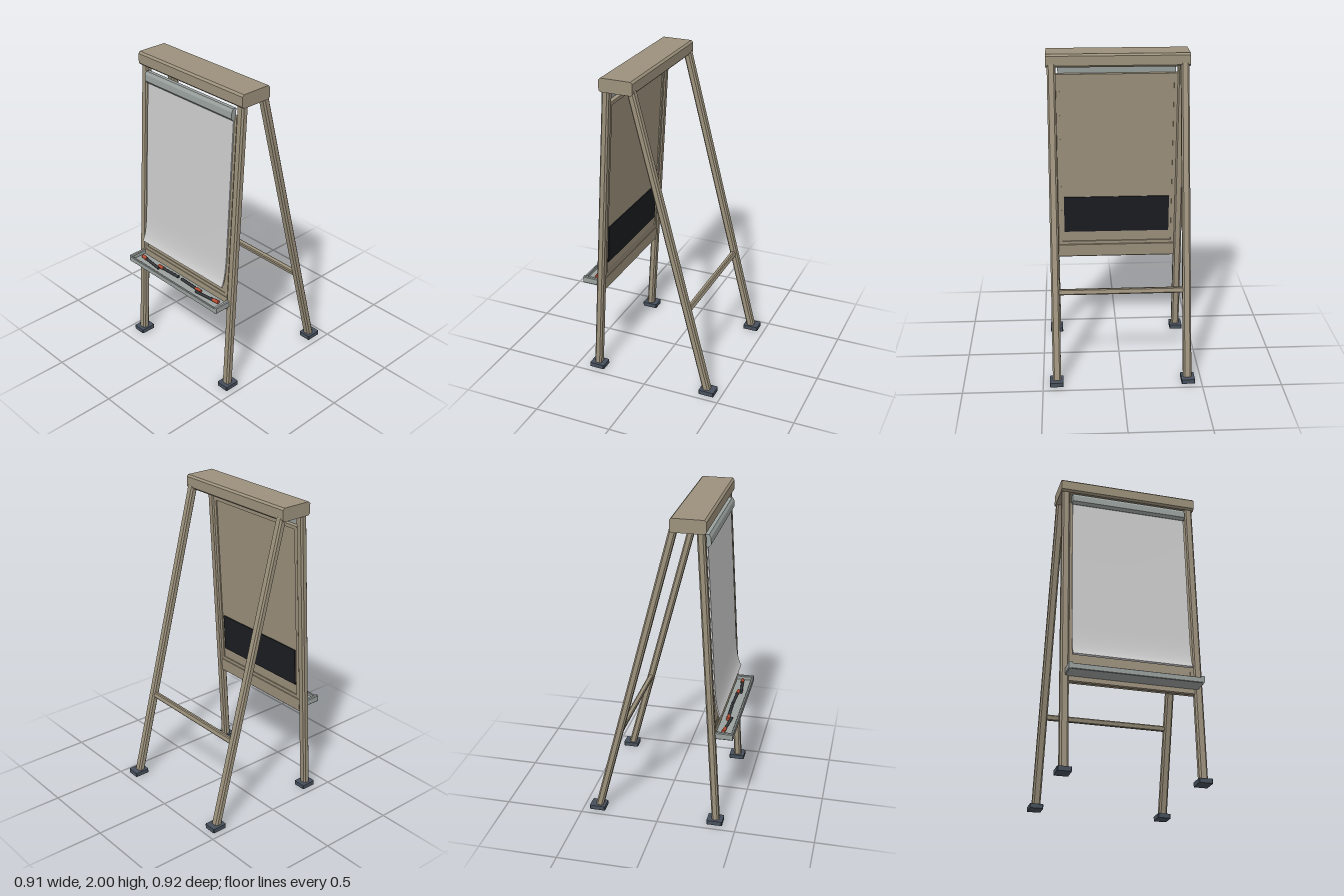
import * as THREE from 'three';
import { toCreasedNormals } from 'three/addons/utils/BufferGeometryUtils.js';

const mat = (color) => new THREE.MeshStandardMaterial({ color });
const wood = mat(0x9c917c);
const metal = mat(0x9aa19e);
const paperMat = mat(0xcccccc);
const rubber = mat(0x46505c);
const slate = mat(0x1b1d21);
const ink = mat(0x36373b);
const red = mat(0xb54c32);

function add(parent, name, geometry, material, x = 0, y = 0, z = 0) {
  const mesh = new THREE.Mesh(geometry, material);
  mesh.name = name;
  mesh.position.set(x, y, z);
  parent.add(mesh);
  return mesh;
}

const box = (w, h, d) => new THREE.BoxGeometry(w, h, d);

// Rectangle with cut corners, extruded along z and centred
function chamfered(w, h, length, c) {
  const a = w / 2, b = h / 2;
  const shape = new THREE.Shape([
    [-a + c, -b], [a - c, -b], [a, -b + c], [a, b - c],
    [a - c, b], [-a + c, b], [-a, b - c], [-a, -b + c],
  ].map(([x, y]) => new THREE.Vector2(x, y)));
  const g = new THREE.ExtrudeGeometry(shape, { depth: length, bevelEnabled: false });
  return g.translate(0, 0, -length / 2);
}
const beamX = (length, h, d, c) => chamfered(d, h, length, c).rotateY(-Math.PI / 2);
const beamY = (w, length, d, c) => chamfered(w, d, length, c).rotateX(-Math.PI / 2);

// Extrudes a (z, y) outline across the width
function profileX(points, width) {
  const shape = new THREE.Shape(points.map(([z, y]) => new THREE.Vector2(z, y)));
  const g = new THREE.ExtrudeGeometry(shape, { depth: width, bevelEnabled: false });
  return g.translate(0, 0, -width / 2).rotateY(-Math.PI / 2);
}

// Rectangular frame with an opening
function frameGeometry(w, h, border, depth) {
  const rect = (Type, a, b) => new Type([[-a, -b], [a, -b], [a, b], [-a, b]]
    .map(([x, y]) => new THREE.Vector2(x, y)));
  const shape = rect(THREE.Shape, w / 2, h / 2);
  shape.holes.push(rect(THREE.Path, w / 2 - border, h / 2 - border));
  const g = new THREE.ExtrudeGeometry(shape, { depth, bevelEnabled: false });
  return g.translate(0, 0, -depth / 2);
}

// Leaning group whose local y runs along a pair of legs
function leaning(name, z0, z1) {
  const g = new THREE.Group();
  g.name = name;
  g.position.z = z0;
  g.rotation.x = Math.atan2(z1 - z0, 1.93);
  return g;
}

function buildFront() {
  const g = leaning('frontFrame', 0.366, 0.249);
  for (const s of [-1, 1]) add(g, 'frontLeg', beamY(0.052, 1.92, 0.046, 0.01), wood, s * 0.413, 0.975);
  add(g, 'lowerRail', beamX(0.78, 0.095, 0.034, 0.006), wood, 0, 0.612);

  // Board with a raised border and a dark panel on its back
  add(g, 'board', box(0.76, 1.17, 0.02), wood, 0, 1.25, 0.003);
  add(g, 'boardFrame', frameGeometry(0.776, 1.185, 0.022, 0.032), wood, 0, 1.25, 0.001);
  add(g, 'backPanel', box(0.7, 0.25, 0.008), slate, 0, 0.875, -0.01);

  // Paper sheet curling forward at its lower end
  const line = [[0.026, 1.86], [0.026, 0.93], [0.028, 0.87], [0.032, 0.82],
    [0.038, 0.78], [0.046, 0.752], [0.055, 0.735]];
  const back = [[0.018, 1.86], [0.018, 0.93], [0.02, 0.87], [0.024, 0.817],
    [0.03, 0.774], [0.038, 0.744], [0.046, 0.727]];
  const sheet = profileX([...line, ...back.reverse()], 0.744);
  add(g, 'paperSheet', toCreasedNormals(sheet, 0.6), paperMat);

  // Clamp bar holding the sheet
  add(g, 'clampBar', profileX([[0.012, 1.828], [0.03, 1.822], [0.046, 1.838],
    [0.046, 1.878], [0.036, 1.898], [0.012, 1.898]], 0.752), metal);
  return g;
}

function buildRear() {
  const g = leaning('rearFrame', -0.405, 0.09);
  for (const s of [-1, 1]) add(g, 'rearLeg', beamY(0.052, 1.98, 0.046, 0.01), wood, s * 0.413, 1.005);
  add(g, 'rearCrossbar', beamX(0.78, 0.036, 0.032, 0.006), wood, 0, 0.582);
  return g;
}

function marker(parent, x0, z0, x1, z1) {
  // Runs from the capped end (x0, z0) to the plain end (x1, z1)
  const g = new THREE.Group();
  g.name = 'marker';
  const length = Math.hypot(x1 - x0, z1 - z0);
  const lay = (r, len, start) =>
    new THREE.CylinderGeometry(r, r, len, 8).rotateZ(Math.PI / 2).translate(start + len / 2, 0, 0);
  add(g, 'markerBody', lay(0.009, length - 0.04, 0.04), ink);
  add(g, 'markerCap', lay(0.0115, 0.044, 0), red);
  g.position.set(x0, 0.629, z0);
  g.rotation.y = -Math.atan2(z1 - z0, x1 - x0);
  parent.add(g);
}

function buildTray() {
  const g = new THREE.Group();
  g.name = 'tray';
  add(g, 'trayFloor', box(0.8, 0.018, 0.105), metal, 0, 0.609, 0.4);
  add(g, 'trayLip', beamX(0.8, 0.036, 0.014, 0.003), metal, 0, 0.618, 0.452);
  for (const s of [-1, 1]) {
    add(g, 'trayEnd', chamfered(0.024, 0.045, 0.112, 0.005), metal, s * 0.402, 0.6225, 0.402);
    marker(g, s * 0.36, 0.39, s * 0.178, 0.411);
    marker(g, s * 0.2, 0.39, s * 0.015, 0.384);
  }
  return g;
}

export function createModel() {
  const model = new THREE.Group();
  model.name = 'flipChartEasel';
  model.add(buildFront(), buildRear(), buildTray());

  // Top cap joining both pairs of legs
  add(model, 'topCap', beamX(0.894, 0.084, 0.215, 0.012), wood, 0, 1.958, 0.178);

  // Rubber feet
  for (const s of [-1, 1]) {
    for (const z of [0.362, -0.407]) {
      add(model, 'foot', beamY(0.084, 0.028, 0.1, 0.004), rubber, s * 0.415, 0.014, z);
    }
  }
  return model;
}
